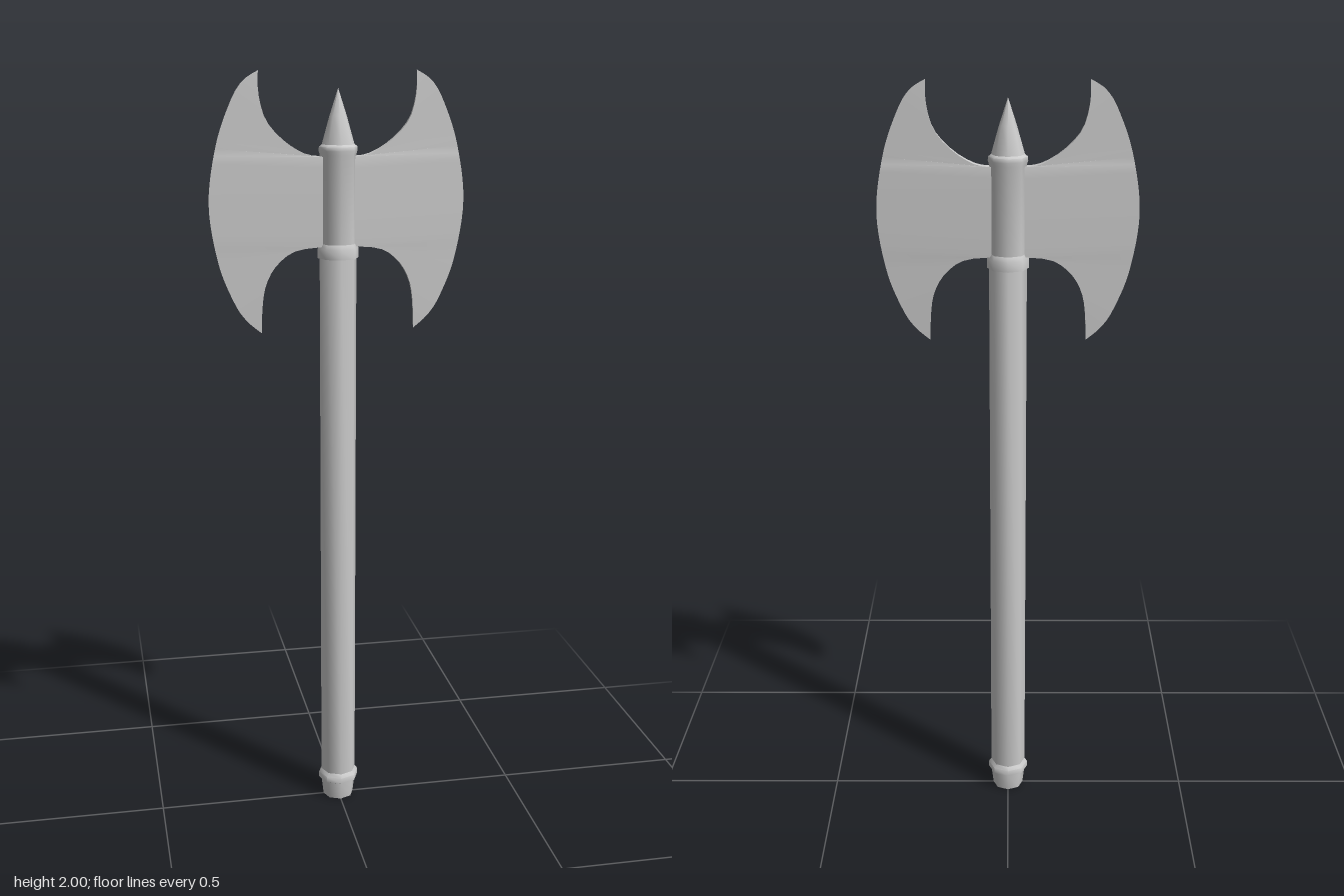
import * as THREE from 'three';
import { toCreasedNormals } from 'three/addons/utils/BufferGeometryUtils.js';

const material = new THREE.MeshStandardMaterial({ color: 0xcccccc });
const points = (list) => list.map(([x, y]) => new THREE.Vector2(x, y));

// Eight-sided turned part from a [radius, height] profile, bottom to top
function turned(name, profile) {
  const geometry = toCreasedNormals(new THREE.LatheGeometry(points(profile), 8), 0.9);
  const mesh = new THREE.Mesh(geometry, material);
  mesh.name = name;
  return mesh;
}

// Crescent blade: wedge sections run from a thick inner rim to a sharp outer edge
function bladeGeometry() {
  const steps = 14;
  const lower = new THREE.SplineCurve(points([
    [0.2, 1.345], [0.197, 1.42], [0.186, 1.475], [0.158, 1.522], [0.11, 1.556], [0.035, 1.565],
  ])).getPoints(steps);
  const upper = new THREE.SplineCurve(points([
    [0.035, 1.79], [0.08, 1.796], [0.135, 1.828], [0.182, 1.88], [0.2, 1.945], [0.2, 2],
  ])).getPoints(steps);
  const edge = new THREE.SplineCurve(points([
    [0.2, 1.345], [0.239, 1.379], [0.27, 1.427], [0.308, 1.528], [0.329, 1.675],
    [0.308, 1.82], [0.27, 1.926], [0.239, 1.975], [0.2, 2],
  ]));

  // Pair every inner point with a point on the cutting edge
  const rows = [];
  const addRow = (inner, u) => {
    const outer = edge.getPointAt(u);
    rows.push({ inner, outer, half: 0.05 * inner.distanceTo(outer) });
  };
  lower.forEach((p, i) => addRow(p, (0.36 * i) / steps));
  for (let i = 1; i < 8; i++) {
    addRow(lower[steps].clone().lerp(upper[0], i / 8), 0.36 + (0.28 * i) / 8);
  }
  upper.forEach((p, i) => addRow(p, 0.64 + (0.36 * i) / steps));

  const positions = [];
  const quad = (a, b, c, d) => positions.push(...a, ...b, ...c, ...a, ...c, ...d);
  const section = ({ inner, outer, half }) => [
    [inner.x, inner.y, half], [outer.x, outer.y, 0], [inner.x, inner.y, -half],
  ];
  for (let i = 0; i < rows.length - 1; i++) {
    const [front0, edge0, back0] = section(rows[i]);
    const [front1, edge1, back1] = section(rows[i + 1]);
    quad(front0, edge0, edge1, front1);
    quad(back0, back1, edge1, edge0);
    quad(front0, front1, back1, back0);
  }
  const geometry = new THREE.BufferGeometry();
  geometry.setAttribute('position', new THREE.Float32BufferAttribute(positions, 3));
  return toCreasedNormals(geometry, 0.6);
}

export function createModel() {
  const group = new THREE.Group();
  group.name = 'doubleAxe';

  group.add(
    turned('pommel', [
      [0, 0], [0.042, 0], [0.048, 0.05], [0.055, 0.054], [0.055, 0.07], [0.048, 0.08],
    ]),
    turned('shaft', [[0.048, 0.075], [0.048, 1.54]]),
    turned('collar', [
      [0.047, 1.535], [0.053, 1.535], [0.053, 1.56], [0.047, 1.572],
    ]),
    turned('socket', [
      [0.047, 1.565], [0.047, 1.795], [0.05, 1.805], [0.049, 1.815], [0.042, 1.82],
    ]),
    turned('spike', [[0.042, 1.82], [0.022, 1.89], [0, 1.957]]),
  );

  // Matching blades on both sides
  const geometry = bladeGeometry();
  for (const [name, angle] of [['leftBlade', 0], ['rightBlade', Math.PI]]) {
    const blade = new THREE.Mesh(geometry, material);
    blade.name = name;
    blade.rotation.y = angle;
    group.add(blade);
  }
  return group;
}
